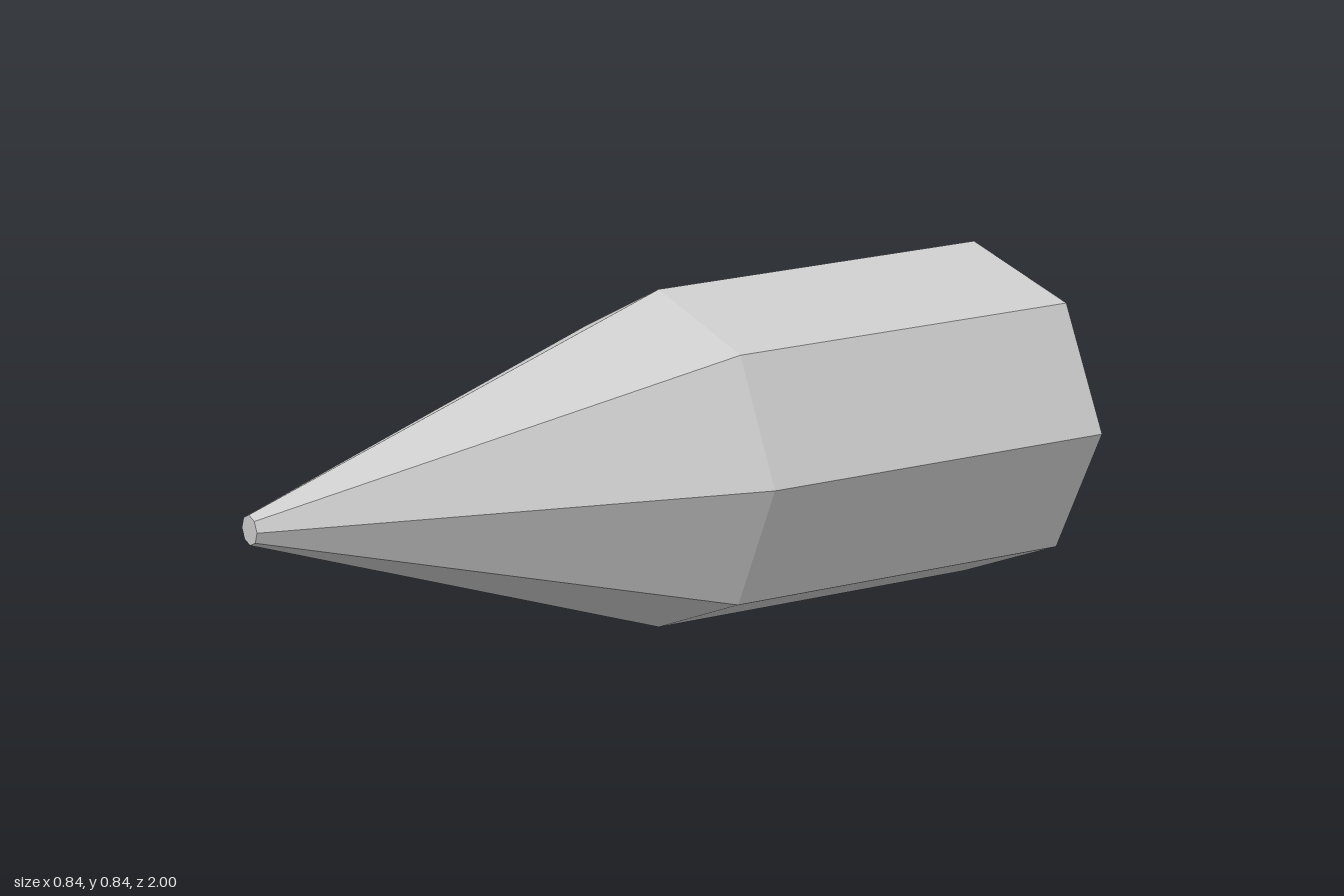
import * as THREE from 'three';

const SIDES = 8;
const AXIS_HEIGHT = 0.42;

export function createModel() {
  const model = new THREE.Group();
  const grey = new THREE.MeshStandardMaterial({ color: 0xcccccc, flatShading: true });
  grey.name = 'light grey';

  // Eight-sided section along z, from [radius, z] pairs listed back to front
  function addSection(name, profile) {
    const points = profile.map(([r, z]) => new THREE.Vector2(r, z));
    const geometry = new THREE.LatheGeometry(points, SIDES);
    geometry.rotateX(Math.PI / 2);
    const mesh = new THREE.Mesh(geometry, grey);
    mesh.name = name;
    mesh.position.y = AXIS_HEIGHT;
    model.add(mesh);
  }

  // Slightly flared body, closed at the back
  addSection('body', [[0, -1], [0.42, -1], [0.38, 0]]);
  // Tapered nose with a small flat tip
  addSection('nose', [[0.38, 0], [0.03, 1], [0, 1]]);

  return model;
}
